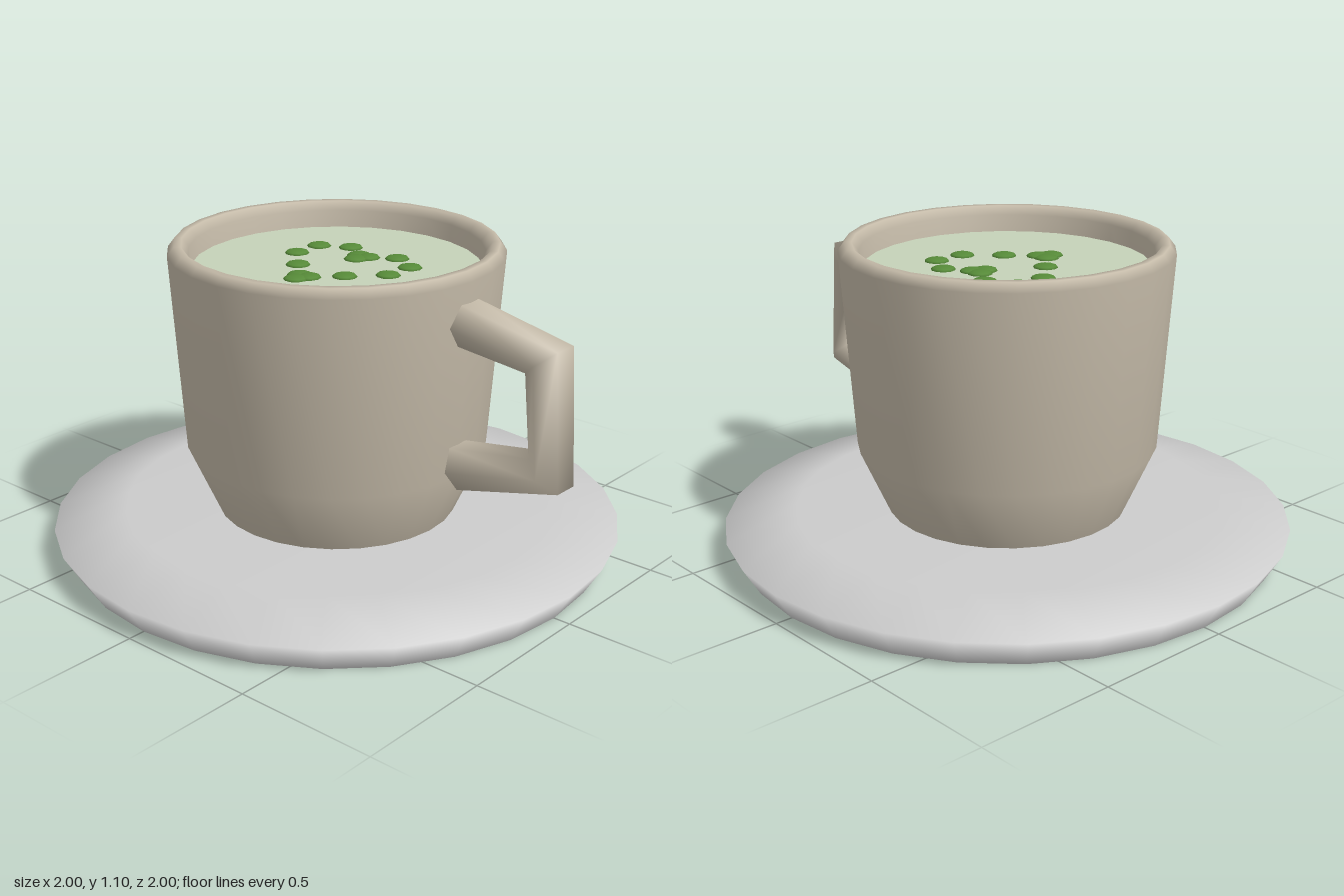
import * as THREE from 'three';

const SEGMENTS = 28;
const material = (color) => new THREE.MeshStandardMaterial({ color });

function addMesh(parent, name, geometry, mat) {
  const mesh = new THREE.Mesh(geometry, mat);
  mesh.name = name;
  parent.add(mesh);
  return mesh;
}

const lathe = (profile) =>
  new THREE.LatheGeometry(profile.map(([r, y]) => new THREE.Vector2(r, y)), SEGMENTS);

// Hexagonal tube through mitred rings, each given as [outerX, outerY, innerX, innerY]
function hexTube(rings, halfWidth) {
  const positions = [];
  const index = [];
  const addRing = ([ox, oy, ix, iy]) => {
    const start = positions.length / 3;
    for (let k = 0; k < 6; k++) {
      const a = (k * Math.PI) / 3;
      const s = Math.sin(a) / Math.sin(Math.PI / 3) / 2;
      positions.push((ox + ix) / 2 + (ox - ix) * s, (oy + iy) / 2 + (oy - iy) * s, halfWidth * Math.cos(a));
    }
    return start;
  };
  const starts = rings.map(addRing);
  for (let i = 0; i < starts.length - 1; i++) {
    for (let k = 0; k < 6; k++) {
      const n = (k + 1) % 6;
      const [a, b] = [starts[i], starts[i + 1]];
      index.push(a + k, b + k, a + n, a + n, b + k, b + n);
    }
  }
  // End caps on their own vertices, so their edges stay sharp
  const first = addRing(rings[0]);
  const last = addRing(rings[rings.length - 1]);
  for (let k = 1; k < 5; k++) {
    index.push(first, first + k, first + k + 1, last, last + k + 1, last + k);
  }
  const geometry = new THREE.BufferGeometry();
  geometry.setAttribute('position', new THREE.Float32BufferAttribute(positions, 3));
  geometry.setIndex(index);
  geometry.computeVertexNormals();
  return geometry;
}

export function createModel() {
  const model = new THREE.Group();
  model.name = 'cupAndSaucer';
  const saucerMat = material(0xcccccc);
  const cupMat = material(0xc4baa8);
  const teaMat = material(0xc5d2b8);
  const leafMat = material(0x568a38);

  // Saucer with a flat underside
  const saucer = new THREE.Group();
  saucer.name = 'saucer';
  model.add(saucer);
  addMesh(saucer, 'saucerPlate', lathe([[0.94, 0], [1, 0.1], [0.75, 0.15], [0, 0.15]]), saucerMat);
  const base = addMesh(saucer, 'saucerBase', new THREE.CircleGeometry(0.94, SEGMENTS), saucerMat);
  base.rotation.x = Math.PI / 2;

  // Cup: outer wall, rounded rim, inner wall and floor
  addMesh(model, 'cup', lathe([
    [0.42, 0.145], [0.525, 0.38], [0.573, 1.07], [0.55, 1.1],
    [0.525, 1.1], [0.502, 1.07], [0.485, 0.9], [0.45, 0.42], [0.36, 0.2], [0, 0.2],
  ]), cupMat);

  // Angular handle on the cup's left side
  addMesh(model, 'handle', hexTube([
    [0.56, 1.0, 0.535, 0.86],
    [0.93, 0.925, 0.815, 0.832],
    [0.957, 0.46, 0.842, 0.55],
    [0.565, 0.36, 0.53, 0.5],
  ], 0.09), cupMat);

  // Drink surface
  const tea = addMesh(model, 'drink', new THREE.CylinderGeometry(0.495, 0.49, 0.04, SEGMENTS), teaMat);
  tea.position.y = 0.99;

  // Heart of small flattened drops, mirrored about x = 0
  const drops = new THREE.Group();
  drops.name = 'heartDrops';
  model.add(drops);
  const dropGeometry = new THREE.SphereGeometry(0.043, 10, 6);
  const half = [
    [0, -0.1], [0.02, -0.14], [0.105, -0.195], [0.205, -0.14],
    [0.205, -0.025], [0.105, 0.08], [0.02, 0.165], [0, 0.205],
  ];
  for (const [x, z] of half) {
    for (const side of x === 0 ? [1] : [1, -1]) {
      const drop = addMesh(drops, 'drop', dropGeometry, leafMat);
      drop.position.set(x * side, 1.01, z);
      drop.scale.y = 0.3;
    }
  }
  return model;
}
